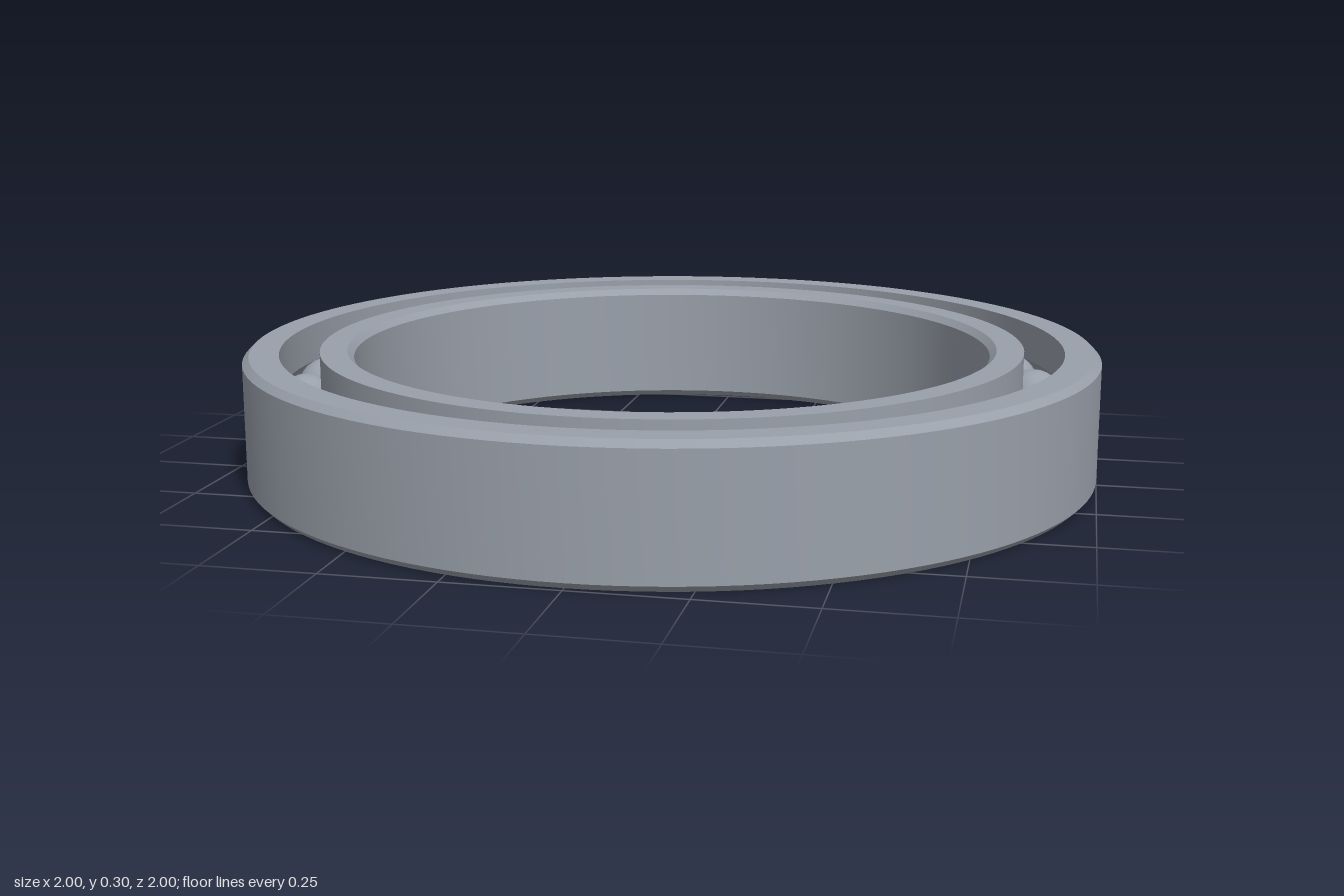
import * as THREE from 'three';
import { toCreasedNormals } from 'three/addons/utils/BufferGeometryUtils.js';

const HEIGHT = 0.3;
const MID = HEIGHT / 2;
const PITCH = 0.87;         // radius of the circle of balls
const BALL_RADIUS = 0.073;
const BALL_COUNT = 28;
const GROOVE_RADIUS = 0.075;
const CHAMFER = 0.015;

// Arc of the ball groove in (radius, y), centred on the pitch circle
function grooveArc(wallRadius, fromTop) {
  const side = Math.sign(wallRadius - PITCH);
  const half = Math.acos(Math.abs(wallRadius - PITCH) / GROOVE_RADIUS);
  const points = [];
  for (let i = 0; i <= 12; i++) {
    const a = (fromTop ? 1 : -1) * half * (1 - i / 6);
    points.push([PITCH + side * GROOVE_RADIUS * Math.cos(a), MID + GROOVE_RADIUS * Math.sin(a)]);
  }
  return points;
}

// Revolve a closed counter-clockwise profile, keeping its corners sharp
function ring(name, profile, material) {
  const points = [...profile, profile[0]].map(([r, y]) => new THREE.Vector2(r, y));
  const geometry = toCreasedNormals(new THREE.LatheGeometry(points, 128), 0.4);
  const mesh = new THREE.Mesh(geometry, material);
  mesh.name = name;
  return mesh;
}

export function createModel() {
  const model = new THREE.Group();
  model.name = 'ballBearing';
  const steel = new THREE.MeshStandardMaterial({ color: 0x99a0aa });
  steel.name = 'steel';

  // Outer ring: chamfered outside, groove inside
  const outer = 1, outerWall = 0.917;
  model.add(ring('outerRing', [
    [outerWall, 0], [outer - CHAMFER, 0], [outer, CHAMFER],
    [outer, HEIGHT - CHAMFER], [outer - CHAMFER, HEIGHT], [outerWall, HEIGHT],
    ...grooveArc(outerWall, true),
  ], steel));

  // Inner ring: groove outside, chamfered bore
  const bore = 0.747, innerWall = 0.825;
  model.add(ring('innerRing', [
    [bore + CHAMFER, 0], [innerWall, 0],
    ...grooveArc(innerWall, false),
    [innerWall, HEIGHT], [bore + CHAMFER, HEIGHT],
    [bore, HEIGHT - CHAMFER], [bore, CHAMFER],
  ], steel));

  // Balls evenly spaced in the race
  const balls = new THREE.Group();
  balls.name = 'balls';
  const ballGeometry = new THREE.SphereGeometry(BALL_RADIUS, 32, 20);
  for (let i = 0; i < BALL_COUNT; i++) {
    const a = (i / BALL_COUNT) * Math.PI * 2 - 0.016;
    const ball = new THREE.Mesh(ballGeometry, steel);
    ball.name = 'ball';
    ball.position.set(PITCH * Math.cos(a), MID, PITCH * Math.sin(a));
    balls.add(ball);
  }
  model.add(balls);
  return model;
}
